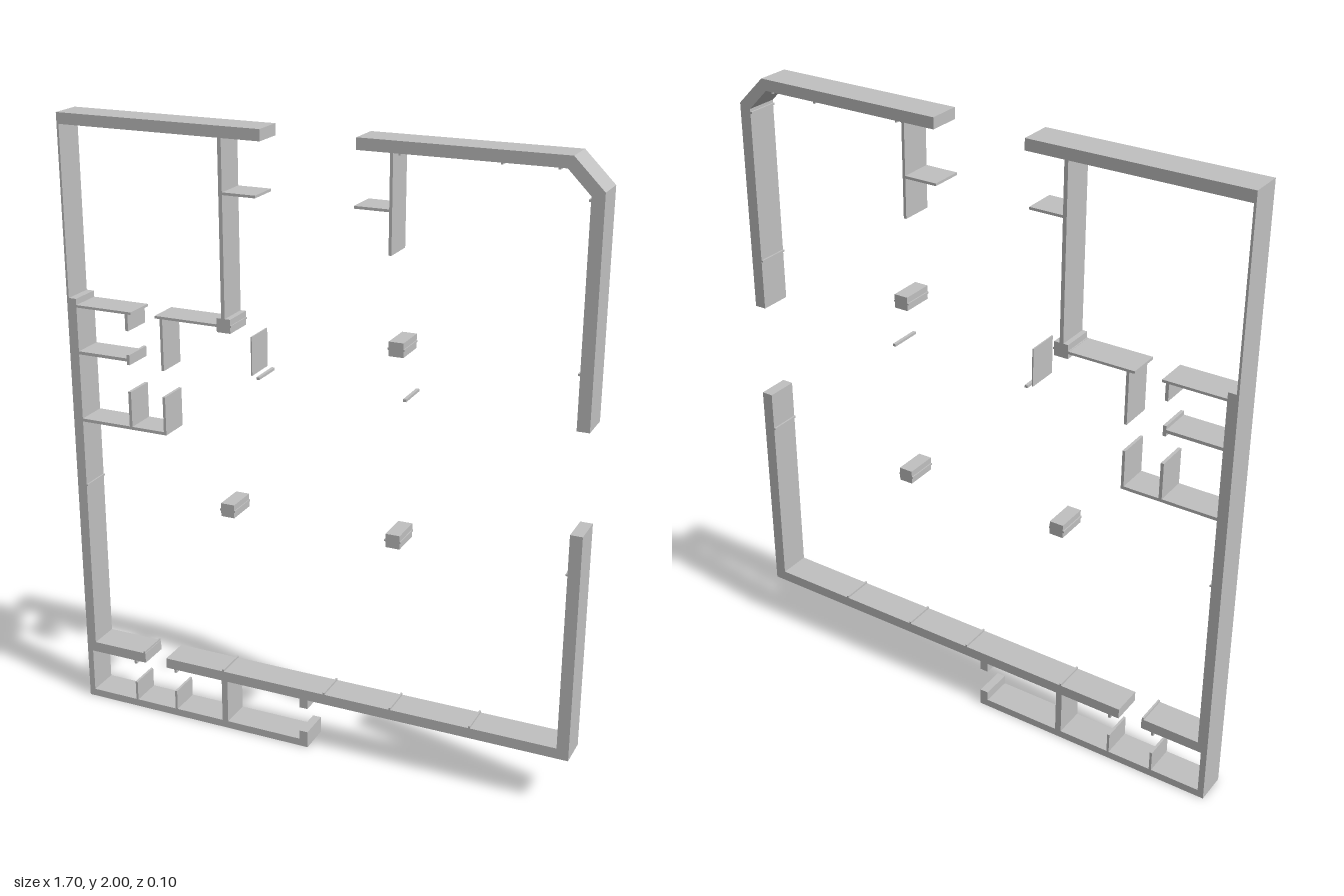
import * as THREE from 'three';

const HALF = 0.0525; // half of the wall height, along z
const wallGrey = new THREE.MeshStandardMaterial({ color: 0xc0c0c0 });
wallGrey.name = 'wallGrey';

export function createModel() {
  const model = new THREE.Group();
  model.name = 'floorPlan';

  // Each wall is given by its plan rectangle [x0, x1, y0, y1]
  function addWalls(name, rects) {
    const group = new THREE.Group();
    group.name = name;
    for (const [x0, x1, y0, y1] of rects) {
      const mesh = new THREE.Mesh(new THREE.BoxGeometry(x1 - x0, y1 - y0, HALF * 2), wallGrey);
      mesh.position.set((x0 + x1) / 2, (y0 + y1) / 2, 0);
      mesh.name = name;
      group.add(mesh);
    }
    model.add(group);
  }

  // Each wall is given by its plan outline
  function addOutline(name, points) {
    const shape = new THREE.Shape(points.map(([x, y]) => new THREE.Vector2(x, y)));
    const geometry = new THREE.ExtrudeGeometry(shape, { depth: HALF * 2, bevelEnabled: false });
    geometry.translate(0, 0, -HALF);
    const mesh = new THREE.Mesh(geometry, wallGrey);
    mesh.name = name;
    model.add(mesh);
  }

  // Outer walls, with the cut corner and the corner at the bottom
  addOutline('cutCornerWall', [
    [0.135, 1.965], [0.742, 1.965], [0.81, 1.897], [0.81, 1.235],
    [0.848, 1.235], [0.848, 1.91], [0.757, 2], [0.135, 2],
  ]);
  addOutline('lowerCornerWall', [
    [-0.54, 0.175], [0.848, 0.175], [0.848, 0.918], [0.81, 0.918], [0.81, 0.21], [-0.54, 0.21],
  ]);
  addOutline('leftWall', [
    [-0.02, 0], [-0.02, 0.056], [-0.048, 0.056], [-0.048, 0.025], [-0.828, 0.025],
    [-0.828, 0.175], [-0.62, 0.175], [-0.62, 0.21], [-0.815, 0.21], [-0.815, 1.422],
    [-0.848, 1.422], [-0.848, 0],
  ]);
  addWalls('upperLeftWall', [[-0.848, -0.165, 1.965, 2], [-0.848, -0.841, 1.422, 1.965]]);

  // Partitions beside the two upper openings
  addWalls('upperPartition', [
    [-0.302, -0.29, 1.42, 1.965], [-0.29, -0.182, 1.799, 1.807],
    [0.237, 0.246, 1.675, 1.965], [0.13, 0.237, 1.799, 1.807],
  ]);

  // Small rooms on the left side
  addWalls('smallRoomWall', [
    [-0.815, -0.618, 1.394, 1.402], [-0.64, -0.63, 1.34, 1.394],
    [-0.815, -0.64, 1.24, 1.25], [-0.64, -0.63, 1.229, 1.262],
    [-0.533, -0.317, 1.394, 1.402], [-0.516, -0.507, 1.227, 1.394],
    [-0.815, -0.507, 1.013, 1.023], [-0.64, -0.63, 1.023, 1.14],
    [-0.516, -0.507, 1.023, 1.14],
  ]);

  // Narrow rooms along the bottom
  addWalls('lowerPartition', [
    [-0.332, -0.311, 0.025, 0.175], [-0.048, -0.02, 0.143, 0.175],
    [-0.664, -0.656, 0.025, 0.093], [-0.664, -0.656, 0.163, 0.175],
    [-0.511, -0.503, 0.025, 0.093], [-0.511, -0.503, 0.163, 0.175],
  ]);

  // Free columns with thin ribs on the sides
  for (const x of [-0.295, 0.265]) {
    for (const y of [0.793, 1.4]) {
      addWalls('column', [[x - 0.023, x + 0.023, y - 0.022, y + 0.022]]);
      addWalls('columnRib', [
        [x - 0.027, x - 0.023, y - 0.003, y + 0.003], [x + 0.023, x + 0.026, y - 0.003, y + 0.003],
      ]);
    }
  }

  // Thin standing panel and two loose strips
  addWalls('thinPanel', [[-0.204, -0.2, 1.255, 1.377]]);
  addWalls('looseStrip', [[-0.186, -0.176, 1.245, 1.253], [0.29, 0.3, 1.245, 1.253]]);

  // Small ribs on the inner faces of the walls
  addWalls('wallRib', [
    ...[-0.625, -0.326, 0.037, 0.265, 0.53].map((x) => [x - 0.003, x + 0.003, 0.21, 0.217]),
    ...[0.265, 0.56, 0.72].map((x) => [x - 0.003, x + 0.003, 1.96, 1.965]),
    ...[0.79, 1.4, 1.885].map((y) => [0.804, 0.81, y - 0.003, y + 0.003]),
    [-0.815, -0.81, 0.787, 0.793],
  ]);

  return model;
}
